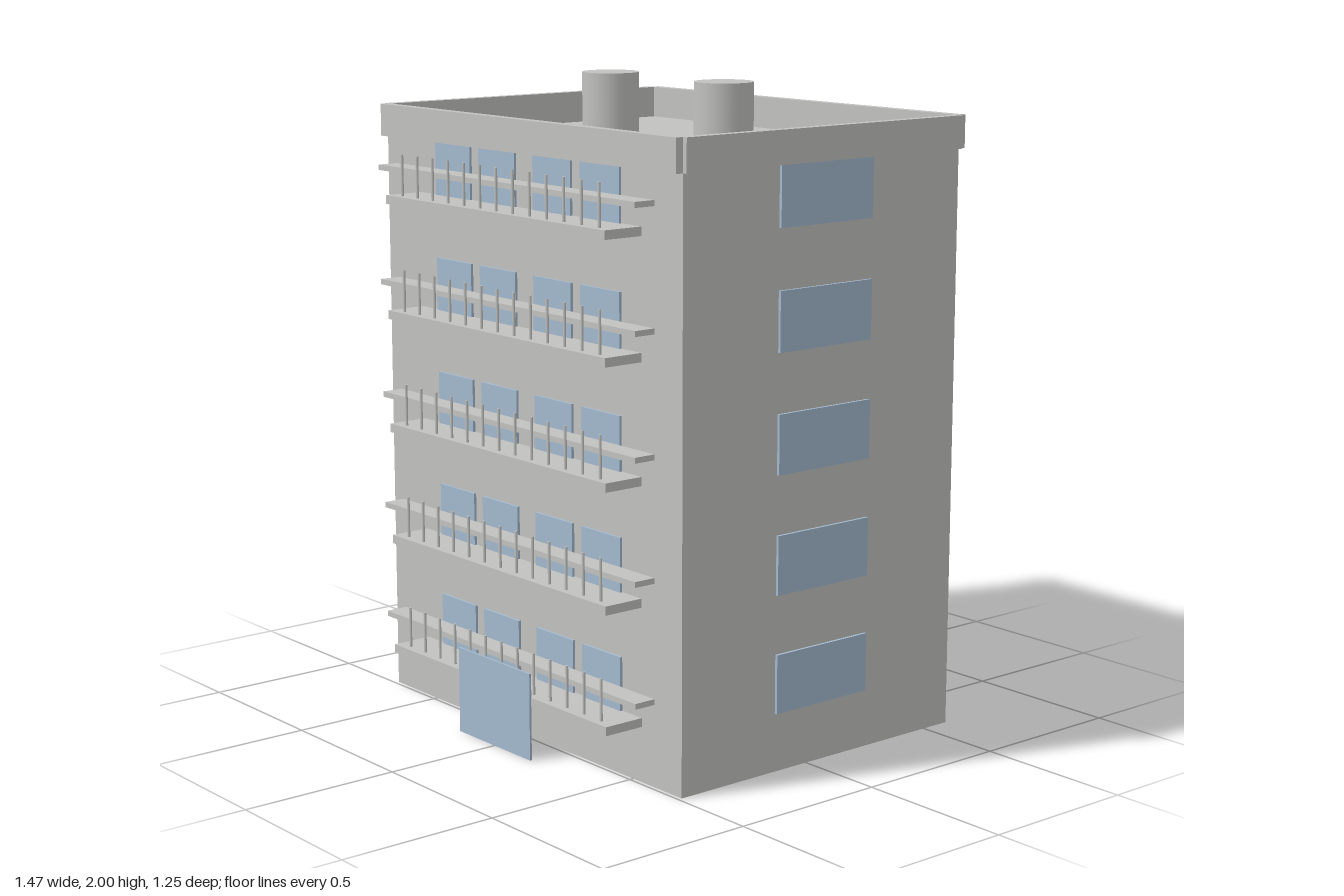
import * as THREE from 'three';

export function createModel() {
  const building = new THREE.Group();
  building.name = 'apartmentBlock';

  const concrete = new THREE.MeshStandardMaterial({ color: 0xc2c2c0 });
  concrete.name = 'concrete';
  const glass = new THREE.MeshStandardMaterial({ color: 0xa4bad0 });
  glass.name = 'glass';

  // Box given by its lower and upper corners
  function box(name, material, [x0, y0, z0], [x1, y1, z1], parent = building) {
    const mesh = new THREE.Mesh(new THREE.BoxGeometry(x1 - x0, y1 - y0, z1 - z0), material);
    mesh.position.set((x0 + x1) / 2, (y0 + y1) / 2, (z0 + z1) / 2);
    mesh.name = name;
    parent.add(mesh);
  }

  const front = 0.487, back = -0.597, halfWidth = 0.72, roof = 1.8, floorHeight = 0.36;

  box('body', concrete, [-halfWidth, 0, back], [halfWidth, roof, front]);

  // Parapet: four strips that leave small notches at the corners
  box('parapetFront', concrete, [-0.72, roof, 0.481], [0.72, 1.9, 0.513]);
  box('parapetBack', concrete, [-0.72, roof, -0.623], [0.72, 1.9, -0.591]);
  for (const [name, x] of [['parapetRight', -0.72], ['parapetLeft', 0.72]]) {
    box(name, concrete, [x - 0.015, roof, back], [x + 0.015, 1.9, front]);
  }

  // Roof vents
  for (const x of [-0.27, 0.27]) {
    const vent = new THREE.Mesh(new THREE.CylinderGeometry(0.09, 0.09, 0.2, 32), concrete);
    vent.position.set(x, roof + 0.1, -0.054);
    vent.name = 'roofVent';
    building.add(vent);
  }

  // Each floor: four front windows, one side window and a balcony
  for (let i = 0; i < 5; i++) {
    const floor = new THREE.Group();
    floor.name = `floor${i + 1}`;
    floor.position.y = i * floorHeight;
    building.add(floor);

    for (const x of [-0.36, -0.135, 0.135, 0.36]) {
      box('frontWindow', glass, [x - 0.09, 0.18, front], [x + 0.09, 0.36, front + 0.008], floor);
    }
    box('sideWindow', glass, [halfWidth, 0.18, -0.234], [halfWidth + 0.009, 0.36, 0.128], floor);

    box('balconySlab', concrete, [-0.54, 0.169, front], [0.54, 0.196, 0.62], floor);
    box('balconyRail', concrete, [-0.63, 0.264, 0.514], [0.63, 0.281, 0.585], floor);

    for (let p = -6; p <= 6; p++) {
      const post = new THREE.Mesh(new THREE.CylinderGeometry(0.0045, 0.0045, 0.145, 8), concrete);
      post.position.set(p * 0.081, 0.2525, 0.595);
      post.name = 'balconyPost';
      floor.add(post);
    }
  }

  // Entrance door panel in front of the lowest balcony
  box('entranceDoor', glass, [-0.18, 0, 0.618], [0.18, 0.27, 0.625]);

  return building;
}
